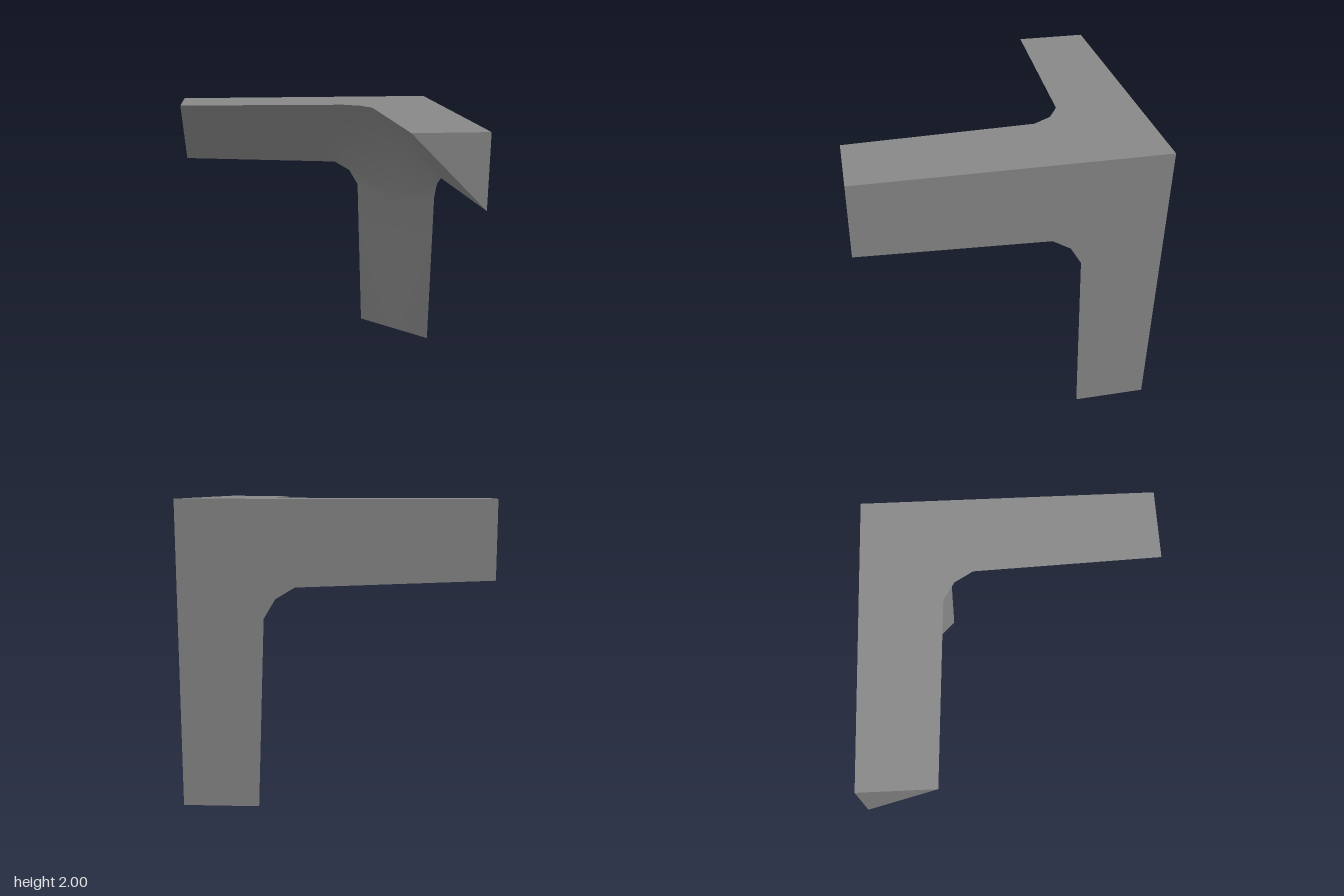
import * as THREE from 'three';
import { mergeVertices } from 'three/addons/utils/BufferGeometryUtils.js';

// Corner bracket: three tapering arms meeting at the corner (1, 2, -1).
// Sizes are distances [along the arm, across it] measured from that corner.
const EDGE = [[2, 0.5], [1.1, 0.536], [0.75, 0.55], [0.625, 0.625]];
const VALLEY = [[2, 0.25], [1.1, 0.245], [0.8, 0.253], [0.32, 0.32]];
const CYCLES = [[0, 1, 2], [1, 2, 0], [2, 0, 1]];

// Place distances along axes i, j, k in the model's frame
function place([i, j, k], p, q, r) {
  const d = [0, 0, 0];
  d[i] = p; d[j] = q; d[k] = r;
  return [1 - d[0], 2 - d[1], d[2] - 1];
}

function fromTriangles(points) {
  const geometry = new THREE.BufferGeometry();
  geometry.setAttribute('position', new THREE.Float32BufferAttribute(points.flat(), 3));
  return geometry;
}

export function createModel() {
  const group = new THREE.Group();
  group.name = 'cornerBracket';
  const grey = new THREE.MeshStandardMaterial({ color: 0x888888 });
  grey.name = 'grey';

  const add = (geometry, name) => {
    geometry.computeVertexNormals();
    const mesh = new THREE.Mesh(geometry, grey);
    mesh.name = name;
    group.add(mesh);
  };

  // Flat outer faces, each an L with a chamfered inner corner
  const outline = [[0, 0], ...EDGE, ...EDGE.slice(0, 3).reverse().map(([s, w]) => [w, s])];
  // start and finish the L on the ends of its two arms
  outline.splice(1, 0, [2, 0]);
  outline.push([0, 2]);
  const shape = new THREE.Shape(outline.map(([u, v]) => new THREE.Vector2(u, v)));
  const faceNames = ['backPlate', 'sidePlate', 'topPlate'];
  CYCLES.forEach((axes, n) => {
    const plate = new THREE.ShapeGeometry(shape);
    const pos = plate.attributes.position;
    for (let v = 0; v < pos.count; v++) {
      pos.setXYZ(v, ...place(axes, pos.getY(v), pos.getX(v), 0));
    }
    add(plate, faceNames[n]);
  });

  // Triangular arm ends
  const endNames = ['sideArmEnd', 'legEnd', 'frontArmEnd'];
  CYCLES.forEach((axes, n) => {
    add(fromTriangles([place(axes, 2, 0, 0), place(axes, 2, 0.5, 0), place(axes, 2, 0, 0.5)]), endNames[n]);
  });

  // Smooth inner surface: each arm has two mirrored strips meeting in a shallow valley
  const inner = [];
  for (const [i, j, k] of CYCLES) {
    for (const flip of [false, true]) {
      const axes = flip ? [i, k, j] : [i, j, k];
      const edge = EDGE.map(([s, w]) => place(axes, s, w, 0));
      const valley = VALLEY.map(([s, w]) => place(axes, s, w, w));
      for (let n = 0; n < EDGE.length - 1; n++) {
        const a = edge[n], b = edge[n + 1], c = valley[n], d = valley[n + 1];
        inner.push(...(flip ? [a, c, b, b, c, d] : [a, b, c, b, d, c]));
      }
    }
  }
  add(mergeVertices(fromTriangles(inner)), 'innerSurface');

  return group;
}
